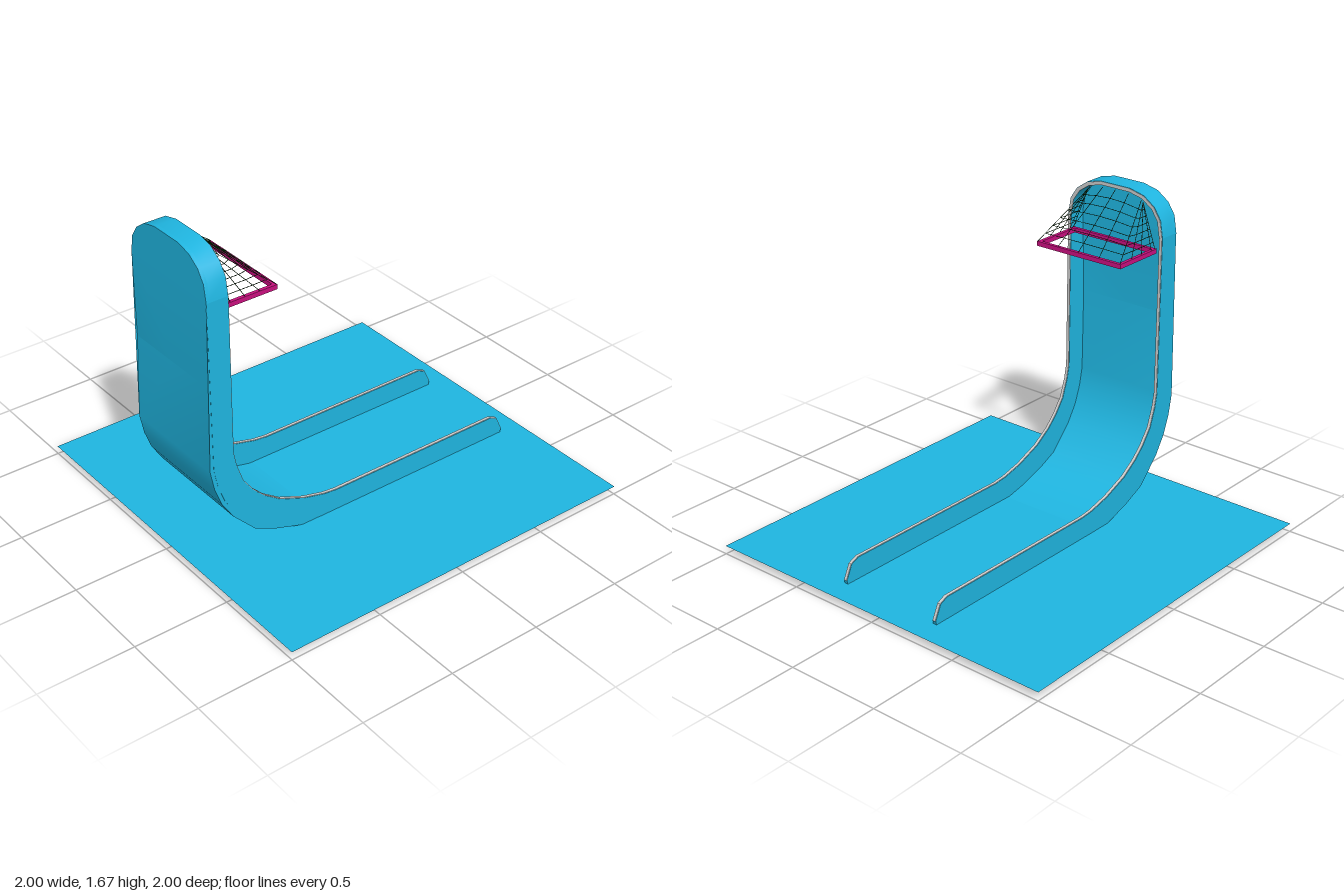
import * as THREE from 'three';
import { toCreasedNormals, mergeGeometries } from 'three/addons/utils/BufferGeometryUtils.js';

const blue = new THREE.MeshStandardMaterial({ color: 0x1fb5e0, side: THREE.DoubleSide });
const grey = new THREE.MeshStandardMaterial({ color: 0xcccccc });
const pink = new THREE.MeshStandardMaterial({ color: 0xc8107f });
const green = new THREE.MeshStandardMaterial({ color: 0x123d12 });

const HALF = 0.295, WALL = 0.02, ARCH_Y = 1.44;

// Side profiles as [z, y], from the top of the upright to the low end
const outer = [[0.91, ARCH_Y], [0.905, 0.56], [0.885, 0.46], [0.85, 0.365], [0.79, 0.27], [0.67, 0.145],
  [0.56, 0.095], [0.43, 0.052], [0.315, 0.026], [0.2, 0.02], [-0.8, 0.02], [-0.87, 0]];
const inner = [[0.795, ARCH_Y], [0.795, 0.61], [0.78, 0.535], [0.745, 0.435], [0.69, 0.36], [0.63, 0.3],
  [0.535, 0.235], [0.395, 0.178], [0.275, 0.148], [0.2, 0.14], [-0.8, 0.14], [-0.845, 0.12], [-0.88, 0.045]];

// Rounded top outline of the upright as [x, y]
const archHalf = [[HALF, ARCH_Y], [0.28, 1.53], [0.24, 1.59], [0.175, 1.635], [0.09, 1.655]];
const arch = [...archHalf, ...archHalf.map(([x, y]) => [-x, y]).reverse()];

const toShape = pts => new THREE.Shape(pts.map(p => new THREE.Vector2(...p)));

// Shift a path sideways by d
function offset(path, d) {
  return path.map((p, i) => {
    const a = path[Math.max(i - 1, 0)], b = path[Math.min(i + 1, path.length - 1)];
    const dx = b[0] - a[0], dy = b[1] - a[1], l = Math.hypot(dx, dy);
    return [p[0] + dy / l * d, p[1] - dx / l * d];
  });
}
const strip = (a, b) => toShape([...a, ...[...b].reverse()]);

function extrude(shape, depth) {
  const geo = new THREE.ExtrudeGeometry(shape, { depth, bevelEnabled: false });
  return toCreasedNormals(geo, 0.5);
}
function add(parent, name, geo, mat) {
  const mesh = new THREE.Mesh(geo, mat);
  mesh.name = name;
  parent.add(mesh);
  return mesh;
}
// Extrude a [z, y] shape across x, ending at x = xMax
function across(shape, width, xMax) {
  return extrude(shape, width).rotateY(-Math.PI / 2).translate(xMax, 0, 0);
}
function rod(a, b, r) {
  const d = b.clone().sub(a), geo = new THREE.CylinderGeometry(r, r, d.length(), 3, 1, true);
  geo.applyQuaternion(new THREE.Quaternion().setFromUnitVectors(new THREE.Vector3(0, 1, 0), d.normalize()));
  return geo.translate((a.x + b.x) / 2, (a.y + b.y) / 2, (a.z + b.z) / 2);
}

export function createModel() {
  const model = new THREE.Group();
  model.name = 'rampWithHoop';

  // Ground sheet
  add(model, 'ground', new THREE.PlaneGeometry(2, 2).rotateX(-Math.PI / 2).translate(0, 0.025, 0), blue);

  // Curved floor and the rounded panel above it
  add(model, 'rampFloor', across(strip(outer, offset(outer, -0.02).map(([z, y], i) =>
    i === 0 ? [0.89, ARCH_Y] : [z, y])), 2 * HALF - 0.002, HALF - 0.001), blue);
  add(model, 'topPanel', extrude(toShape(arch), 0.02).translate(0, 0, 0.89), blue);

  // Side walls with grey rims
  for (const side of [1, -1]) {
    const xMax = side > 0 ? HALF : -HALF + WALL;
    add(model, side > 0 ? 'leftWall' : 'rightWall', across(strip(outer, inner), WALL, xMax), blue);
    const rim = strip(offset(inner, 0.003), offset(inner, -0.002));
    add(model, side > 0 ? 'leftRim' : 'rightRim', across(rim, WALL - 0.004, xMax - 0.002), grey);
  }

  // Arched wall around the top
  const archInner = arch.map(([x, y]) => [x * (HALF - WALL) / HALF, ARCH_Y + (y - ARCH_Y) * 0.91]);
  const band = strip(arch, archInner);
  add(model, 'archWall', extrude(band, 0.115).translate(0, 0, 0.795), blue);
  const trim = strip(arch.map(([x, y]) => [x * 0.993, y - 0.002]), archInner);
  add(model, 'archRim', extrude(trim, 0.004).translate(0, 0, 0.793), grey);

  // Rectangular hoop
  const hoop = new THREE.Group();
  hoop.name = 'hoop';
  model.add(hoop);
  const bar = 0.018, yHoop = 1.367;
  for (const s of [1, -1]) {
    add(hoop, 'hoopSide', new THREE.BoxGeometry(bar, 0.024, 0.295).translate(s * 0.25, yHoop, 0.6525), pink);
    add(hoop, 'hoopEnd', new THREE.BoxGeometry(0.518, 0.024, bar)
      .translate(0, yHoop, s > 0 ? 0.791 : 0.514), pink);
  }

  // Net strands from the hoop to the top of the arch
  const V = (x, y, z) => new THREE.Vector3(x, y, z);
  const strands = [];
  for (const z of [0.79, 0.76, 0.68, 0.6]) strands.push([V(-0.255, 1.38, z), V(-0.17, 1.6, 0.797)]);
  for (let i = -2; i <= 2; i++)
    strands.push([V(i * 0.128, 1.38, 0.507), V(i * 0.08, 1.63 - 0.005 * i * i, 0.797)]);
  for (const z of [0.6, 0.68, 0.76, 0.79]) strands.push([V(0.255, 1.38, z), V(0.17, 1.6, 0.797)]);
  const r = 0.0018;
  const rods = strands.map(([a, b]) => rod(a, b, r));
  for (let k = 1; k < 7; k++) {
    const ring = strands.map(([a, b]) => a.clone().lerp(b, k / 7));
    for (let i = 1; i < ring.length; i++) rods.push(rod(ring[i - 1], ring[i], r));
  }
  add(model, 'net', mergeGeometries(rods), green);

  return model;
}
